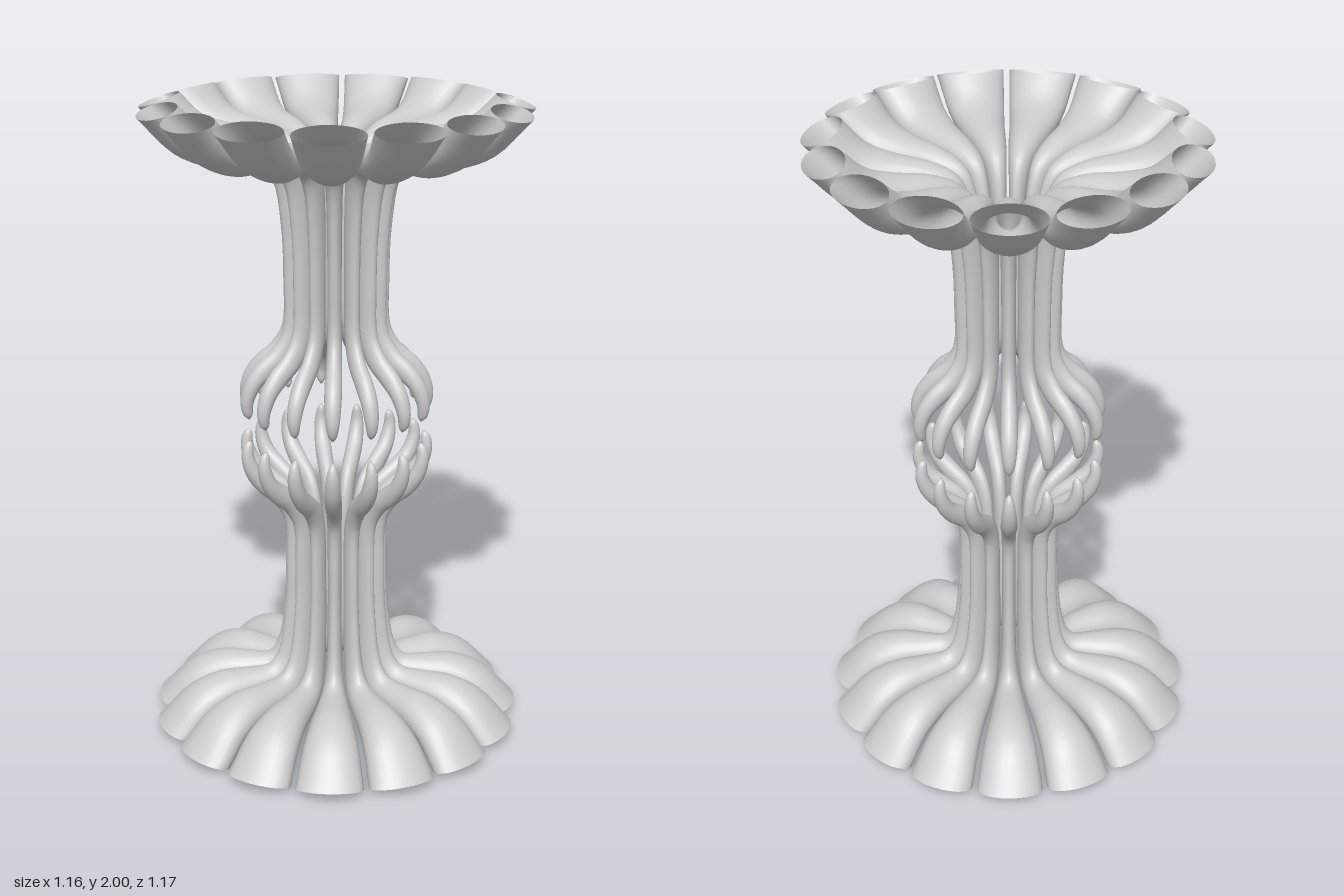
import * as THREE from 'three';

// Cross-sections of one trumpet-shaped rib, from closed tip to open rim:
// outer radius, outer y, inner radius, inner y, half width
const SECTIONS = [
  [0.277, 1.035, 0.273, 1.035, 0.002],
  [0.293, 1.05, 0.265, 1.048, 0.012],
  [0.301, 1.09, 0.262, 1.085, 0.02],
  [0.287, 1.15, 0.237, 1.135, 0.025],
  [0.25, 1.205, 0.195, 1.17, 0.026],
  [0.2, 1.25, 0.135, 1.22, 0.024],
  [0.166, 1.31, 0.1, 1.3, 0.022],
  [0.161, 1.45, 0.092, 1.45, 0.021],
  [0.167, 1.62, 0.09, 1.63, 0.022],
  [0.192, 1.765, 0.104, 1.775, 0.026],
  [0.225, 1.808, 0.14, 1.86, 0.035],
  [0.29, 1.813, 0.22, 1.9, 0.05],
  [0.38, 1.816, 0.32, 1.918, 0.067],
  [0.48, 1.857, 0.4, 1.94, 0.085],
  [0.586, 1.964, 0.47, 2.0, 0.103],
];
const RIBS = 15;

// Loft elliptical rings between the outer and inner profile curves
function ribGeometry(steps = 56, sides = 24) {
  const outer = new THREE.CatmullRomCurve3(SECTIONS.map(s => new THREE.Vector3(s[0], s[1], s[4])));
  const inner = new THREE.CatmullRomCurve3(SECTIONS.map(s => new THREE.Vector3(s[2], s[3], 0)));
  const positions = [], index = [];
  for (let i = 0; i <= steps; i++) {
    const o = outer.getPoint(i / steps), n = inner.getPoint(i / steps);
    for (let j = 0; j < sides; j++) {
      const a = (j / sides) * Math.PI * 2, k = (1 + Math.cos(a)) / 2;
      positions.push(n.x + (o.x - n.x) * k, n.y + (o.y - n.y) * k, o.z * Math.sin(a));
      if (i < steps) {
        const p = i * sides + j, q = i * sides + ((j + 1) % sides);
        index.push(p, p + sides, q, q, p + sides, q + sides);
      }
    }
  }
  const geometry = new THREE.BufferGeometry();
  geometry.setAttribute('position', new THREE.Float32BufferAttribute(positions, 3));
  geometry.setIndex(index);
  geometry.computeVertexNormals();
  return geometry;
}

export function createModel() {
  const model = new THREE.Group();
  model.name = 'flaredStand';
  const material = new THREE.MeshStandardMaterial({ color: 0xcccccc, side: THREE.DoubleSide });
  const geometry = ribGeometry();

  // Ring of ribs; one rib points along -x
  const ring = (name) => {
    const group = new THREE.Group();
    group.name = name;
    for (let i = 0; i < RIBS; i++) {
      const rib = new THREE.Mesh(geometry, material);
      rib.name = 'trumpetRib';
      rib.rotation.y = Math.PI + (i / RIBS) * Math.PI * 2;
      group.add(rib);
    }
    model.add(group);
    return group;
  };

  ring('upperCrown');
  // Lower half is the upper half turned over
  const base = ring('lowerBase');
  base.rotation.x = Math.PI;
  base.position.y = 2;
  return model;
}
